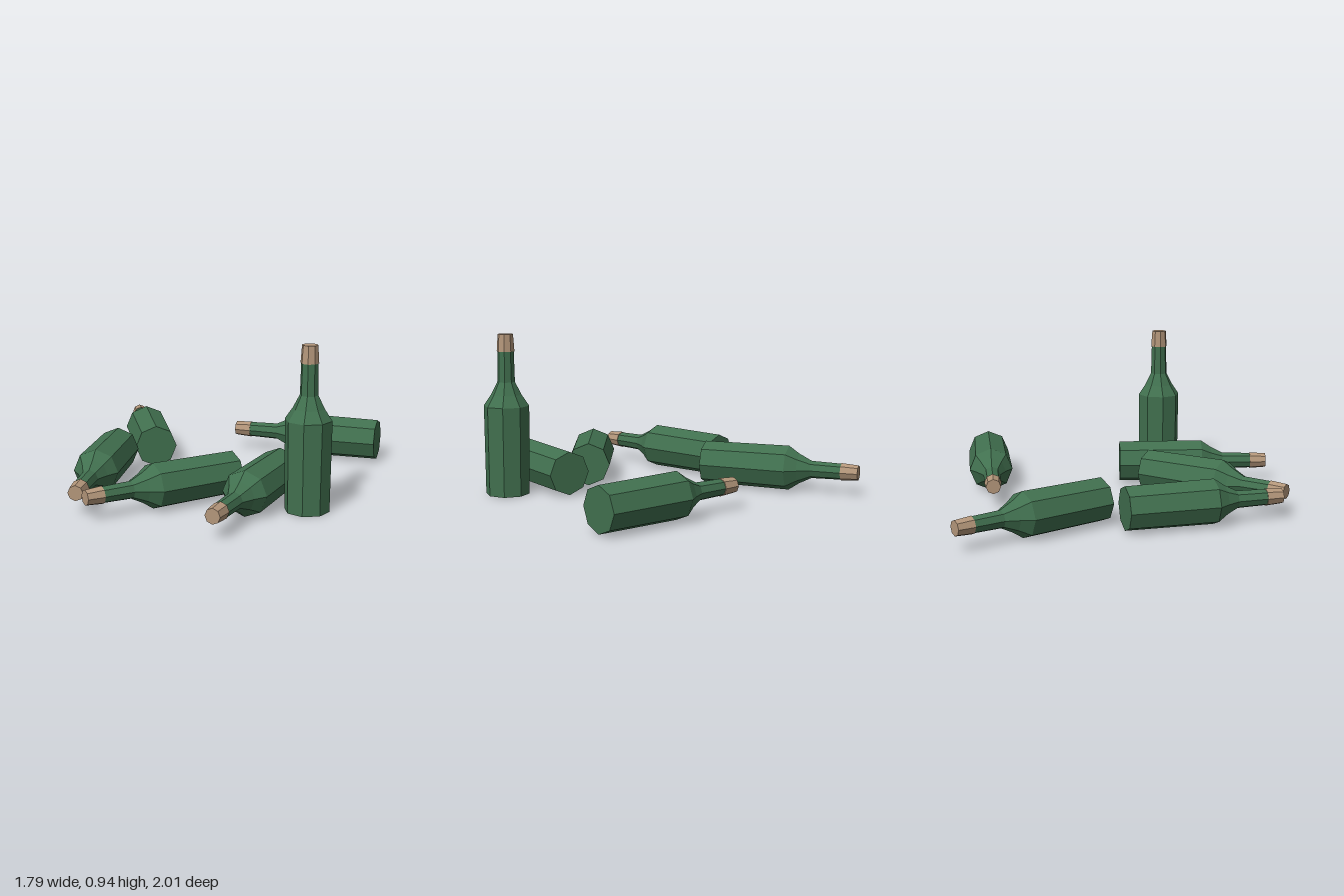
import * as THREE from 'three';

const SIDES = 8;
const RADIUS = 0.134;

export function createModel() {
  const model = new THREE.Group();
  model.name = 'bottles';

  const glass = new THREE.MeshStandardMaterial({ color: 0x41704f, flatShading: true });
  const corkMaterial = new THREE.MeshStandardMaterial({ color: 0xb3967a, flatShading: true });

  // Bottle outline from the base up: body, shoulder, neck, closed mouth
  const profile = [
    [0, 0], [0.129, 0], [RADIUS, 0.525], [0.09, 0.59],
    [0.052, 0.665], [0.048, 0.845], [0, 0.845],
  ].map(([r, y]) => new THREE.Vector2(r, y));
  const glassGeometry = new THREE.LatheGeometry(profile, SIDES);

  // Tapered cork, slightly wider than the mouth at its foot
  const corkGeometry = new THREE.CylinderGeometry(0.045, 0.052, 0.101, SIDES);
  corkGeometry.translate(0, 0.8945, 0);

  function addBottle(name) {
    const bottle = new THREE.Group();
    bottle.name = name;
    const body = new THREE.Mesh(glassGeometry, glass);
    body.name = 'glassBody';
    const cork = new THREE.Mesh(corkGeometry, corkMaterial);
    cork.name = 'cork';
    bottle.add(body, cork);
    model.add(bottle);
    return bottle;
  }

  // One bottle stands upright
  const standing = addBottle('standingBottle');
  standing.position.set(0.718, 0, 0.35);
  standing.rotation.y = 0.06;

  // The others lie down: base x, z and cork tip x, z
  const lying = [
    [-0.397, -0.159, -0.852, -0.976],
    [0.887, -0.78, -0.053, -0.766],
    [-0.608, -0.048, -0.46, 0.876],
    [0.229, 0.211, -0.365, 0.926],
    [0.476, 0.058, 0.381, 0.992],
  ];
  lying.forEach(([bx, bz, tx, tz], i) => {
    const bottle = addBottle(`lyingBottle${i + 1}`);
    bottle.position.set(bx, RADIUS, bz);
    bottle.rotation.set(Math.PI / 2, Math.atan2(tx - bx, tz - bz), 0, 'YXZ');
  });

  return model;
}
